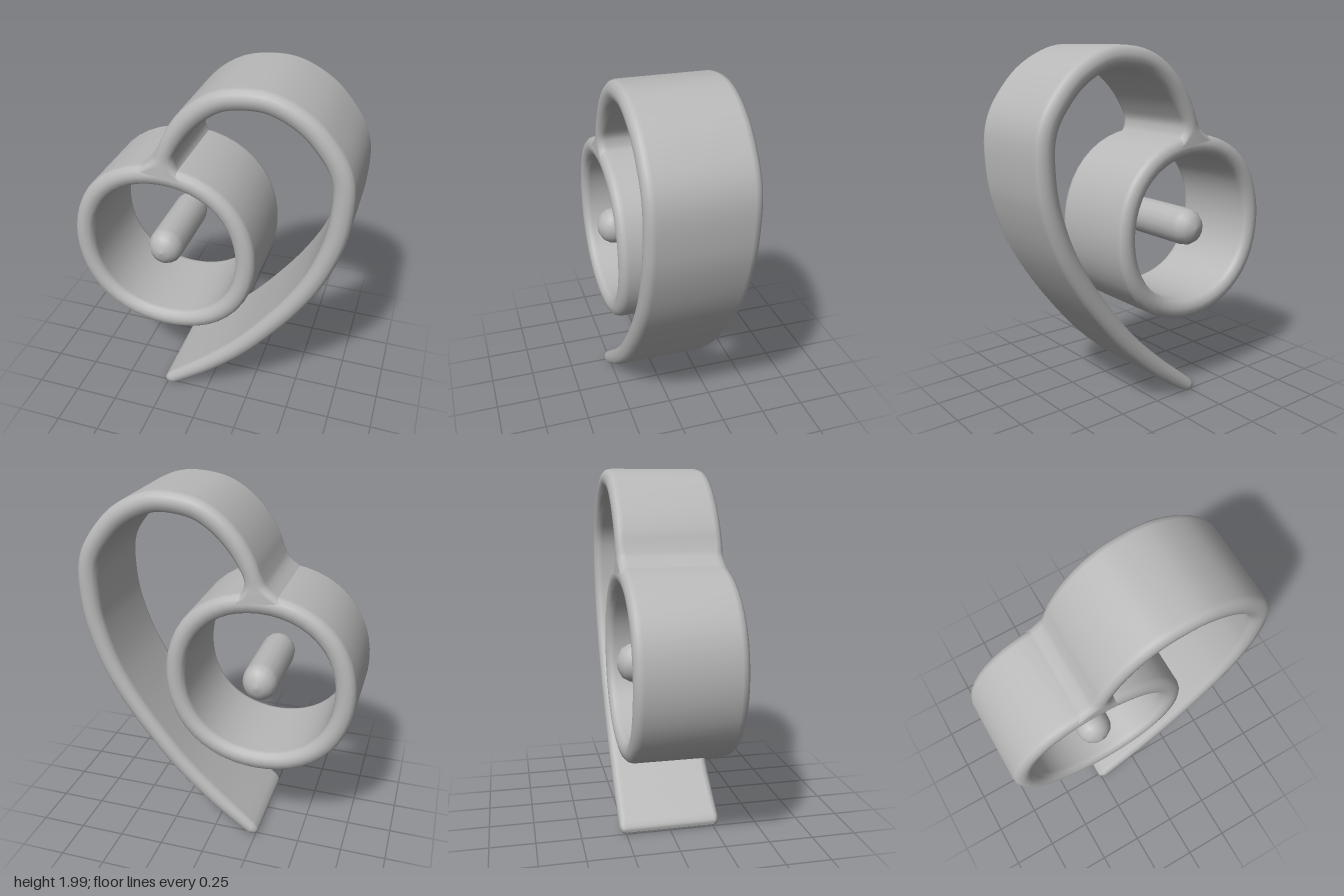
import * as THREE from 'three';

const HALF_DEPTH = 0.285;

// Sweeps a rounded-rectangle section along a path; each point is (x, y, half thickness)
function sweepBand(points, steps, closed) {
  const curve = new THREE.CatmullRomCurve3(points.map(p => new THREE.Vector3(...p)), closed, 'centripetal');
  const corner = 4, n = corner * 4;
  const rows = closed ? steps : steps + 1;
  const pos = [], index = [];
  for (let i = 0; i < rows; i++) {
    const t = i / steps;
    const p = curve.getPoint(t), tan = curve.getTangent(t);
    const len = Math.hypot(tan.x, tan.y) || 1;
    const nx = -tan.y / len, ny = tan.x / len;
    const h = Math.max(p.z, 0.001);
    const d = HALF_DEPTH - Math.max(0, 0.036 - h) * 0.9;
    const r = Math.min(h * 0.85, 0.048);
    for (let q = 0; q < 4; q++) {
      const su = q === 0 || q === 3 ? 1 : -1, sw = q < 2 ? 1 : -1;
      for (let k = 0; k < corner; k++) {
        const a = (q + k / (corner - 1)) * Math.PI / 2;
        const u = su * (h - r) + r * Math.cos(a);
        const w = sw * (d - r) + r * Math.sin(a);
        pos.push(p.x + nx * u, p.y + ny * u, w);
      }
    }
  }
  for (let i = 0; i < steps; i++) {
    const i2 = (i + 1) % rows;
    for (let j = 0; j < n; j++) {
      const j2 = (j + 1) % n;
      const a = i * n + j, b = i * n + j2, c = i2 * n + j2, e = i2 * n + j;
      index.push(a, b, c, a, c, e);
    }
  }
  const geo = new THREE.BufferGeometry();
  geo.setAttribute('position', new THREE.Float32BufferAttribute(pos, 3));
  geo.setIndex(index);
  geo.computeVertexNormals();
  return geo;
}

export function createModel() {
  const group = new THREE.Group();
  const grey = new THREE.MeshStandardMaterial({ color: 0xb8b8b8 });
  grey.name = 'grey';
  const add = (name, geo) => {
    const mesh = new THREE.Mesh(geo, grey);
    mesh.name = name;
    group.add(mesh);
    return mesh;
  };

  // Closed ring, slightly squared off
  const ringPoints = [];
  for (let i = 0; i < 24; i++) {
    const a = (i + 0.5) / 24 * Math.PI * 2;
    const r = 0.467 + 0.01 * Math.sin(2 * a) ** 2;
    ringPoints.push([-0.242 + r * Math.cos(a), 1 + r * Math.sin(a), 0.055]);
  }
  add('ring', sweepBand(ringPoints, 48, true));

  // Curling band: flared neck on the ring, over the top, down to a tapered tip
  add('curlingBand', sweepBand([
    [-0.228, 1.475, 0.15], [-0.225, 1.5, 0.11], [-0.217, 1.545, 0.066], [-0.205, 1.6, 0.048],
    [-0.175, 1.67, 0.05], [-0.11, 1.77, 0.054], [-0.02, 1.86, 0.056], [0.08, 1.92, 0.056],
    [0.19, 1.944, 0.056], [0.31, 1.944, 0.056], [0.41, 1.912, 0.056], [0.52, 1.845, 0.056],
    [0.61, 1.75, 0.056], [0.675, 1.65, 0.056], [0.704, 1.55, 0.056], [0.704, 1.38, 0.056],
    [0.682, 1.23, 0.056], [0.605, 1.0, 0.055], [0.495, 0.8, 0.054], [0.36, 0.61, 0.053],
    [0.19, 0.405, 0.052], [0, 0.226, 0.05], [-0.11, 0.138, 0.046], [-0.185, 0.081, 0.042],
    [-0.225, 0.052, 0.036], [-0.25, 0.036, 0.022], [-0.259, 0.03, 0.001],
  ], 104, false));

  // Central pin with domed ends
  const half = 0.29;
  const profile = [
    [0, -half], [0.04, -half + 0.008], [0.075, -half + 0.03], [0.095, -half + 0.065], [0.1, -half + 0.1],
    [0.1, half - 0.1], [0.095, half - 0.065], [0.075, half - 0.03], [0.04, half - 0.008], [0, half],
  ].map(p => new THREE.Vector2(...p));
  const pin = add('centralPin', new THREE.LatheGeometry(profile, 16).rotateX(Math.PI / 2));
  pin.scale.set(0.98, 1.06, 1);
  pin.position.set(-0.242, 1, 0);

  return group;
}
